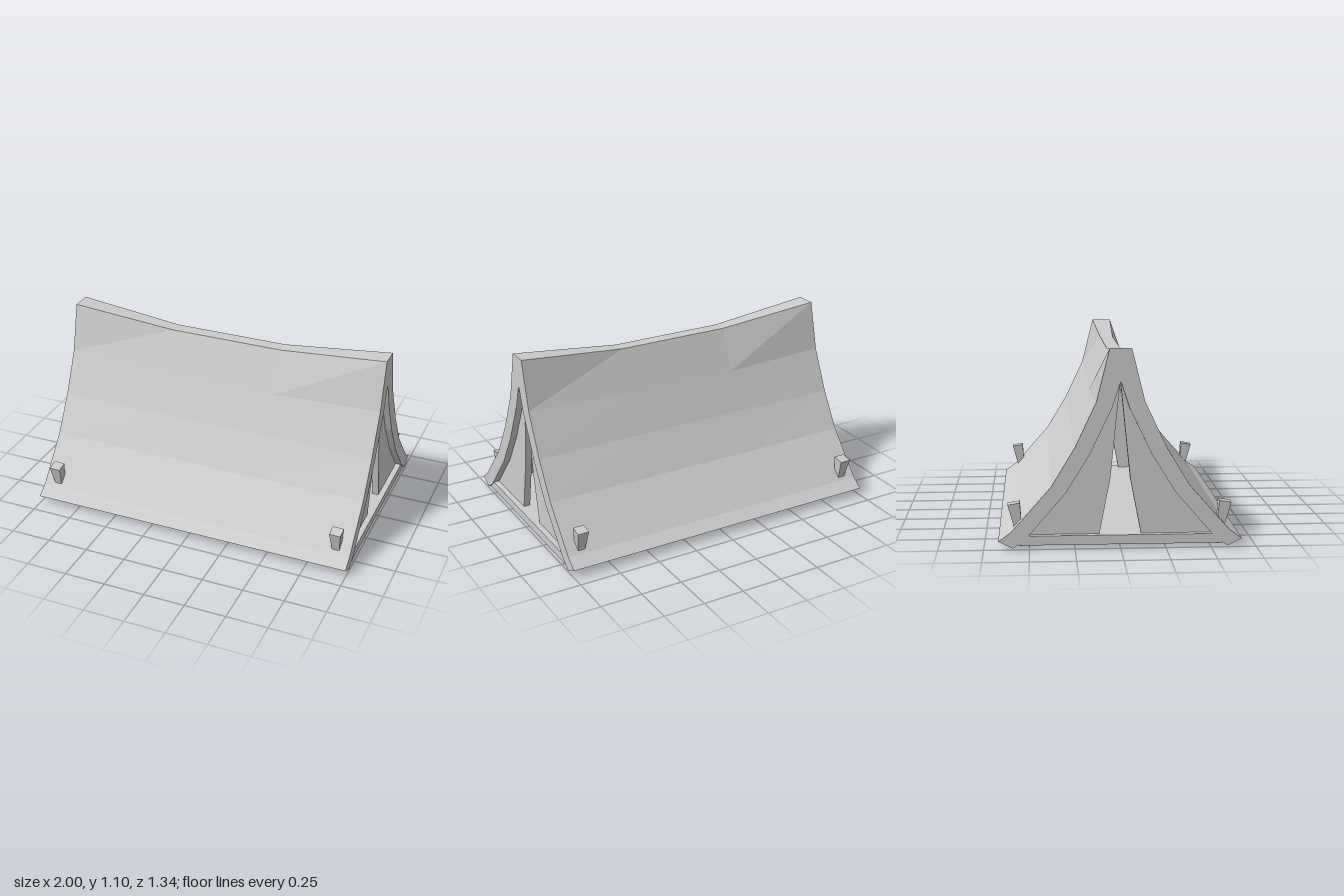
import * as THREE from 'three';

// Half cross-section of the canvas, as [z, y], from the hem up to the ridge
const OUTER_END = [[0.59, 0.015], [0.67, 0.055], [0.6, 0.105], [0.38, 0.355], [0.25, 0.57], [0.132, 0.82], [0.06, 1.11]];
const OUTER_MID = [[0.59, 0.015], [0.67, 0.055], [0.6, 0.105], [0.38, 0.35], [0.25, 0.57], [0.145, 0.8], [0.04, 1.047]];
const INNER = [[0, 0.93], [0.05, 0.78], [0.17, 0.53], [0.3, 0.32], [0.52, 0.065]];

const mirror = (pts) => pts.map(([z, y]) => [-z, y]);

// Full closed loop: up the +z slope, down the -z slope, back along the inside
function section(outer) {
  return [
    ...outer, ...mirror(outer).reverse(),
    ...mirror(INNER).reverse(), ...INNER.slice(1),
  ];
}

// Solid skin through cross-sections placed along x, closed at both ends
function loft(stations) {
  const pos = [], index = [];
  const n = stations[0].loop.length;
  for (const { x, loop } of stations) for (const [z, y] of loop) pos.push(x, y, z);
  for (let s = 0; s < stations.length - 1; s++) {
    for (let i = 0; i < n; i++) {
      const j = (i + 1) % n;
      const a = s * n + i, b = a + n, c = (s + 1) * n + j, d = s * n + j;
      index.push(a, b, c, a, c, d);
    }
  }
  const last = (stations.length - 1) * n;
  const contour = stations[0].loop.map(([z, y]) => new THREE.Vector2(z, y));
  for (const [a, b, c] of THREE.ShapeUtils.triangulateShape(contour, [])) {
    index.push(a, b, c, last + a, last + c, last + b);
  }
  const geo = new THREE.BufferGeometry();
  geo.setAttribute('position', new THREE.Float32BufferAttribute(pos, 3));
  geo.setIndex(index);
  const flat = geo.toNonIndexed();
  flat.computeVertexNormals();
  return flat;
}

export function createModel() {
  const model = new THREE.Group();
  model.name = 'tent';
  const canvas = new THREE.MeshStandardMaterial({ color: 0xcccccc, flatShading: true });
  canvas.name = 'canvas grey';

  const add = (name, geo, parent = model) => {
    const mesh = new THREE.Mesh(geo, canvas);
    mesh.name = name;
    parent.add(mesh);
    return mesh;
  };

  // Sagging roof
  const end = section(OUTER_END), mid = section(OUTER_MID);
  add('roof', loft([
    { x: -1, loop: end }, { x: -0.35, loop: mid }, { x: 0.35, loop: mid }, { x: 1, loop: end },
  ]));

  // Ground sheet
  add('floor', new THREE.BoxGeometry(1.99, 0.052, 1.12)).position.y = 0.056;

  // Door flaps, a pair recessed into each open end
  const flapPts = [[0, 0.935], [0.055, 0.39], [0.117, 0.07], [0.54, 0.07], [0.31, 0.33], [0.18, 0.54], [0.06, 0.79]];
  for (const endSide of [-1, 1]) {
    for (const side of [-1, 1]) {
      const shape = new THREE.Shape(flapPts.map(([z, y]) => new THREE.Vector2(side * z, y)));
      const geo = new THREE.ExtrudeGeometry(shape, { depth: 0.04, bevelEnabled: false });
      geo.translate(0, 0, -0.02).rotateY(Math.PI / 2);
      add('doorFlap', geo).position.x = endSide * 0.94;
    }
  }

  // Tapered square pegs driven through the hem, leaning outwards
  const pegGeo = new THREE.CylinderGeometry(0.034 * Math.SQRT2, 0.011 * Math.SQRT2, 0.245, 4);
  pegGeo.rotateY(Math.PI / 4);
  for (const x of [-0.91, 0.91]) {
    for (const side of [-1, 1]) {
      const peg = add('peg', pegGeo);
      peg.position.set(x, 0.13, side * 0.564);
      peg.rotation.x = side * 0.17;
    }
  }
  return model;
}
